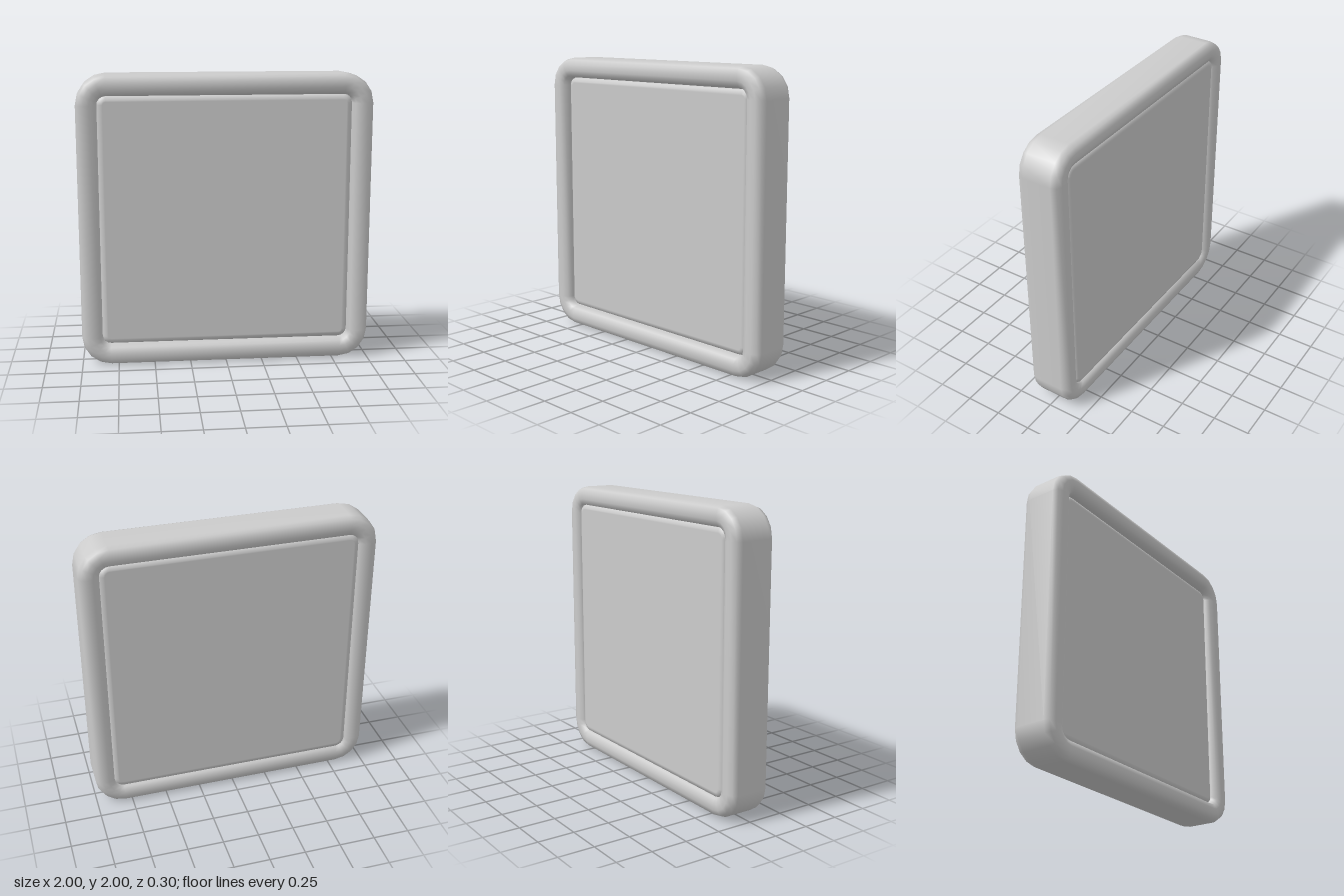
import * as THREE from 'three';

const HALF = 1;        // half width of the frame
const RADIUS = 0.2;    // outer corner radius
const CORNER_STEPS = 4;
const BEVEL_STEPS = 2;

// Counter-clockwise rounded square, moved inwards by inset
function roundedSquare(inset) {
  const points = [];
  const c = HALF - RADIUS, r = RADIUS - inset;
  [[1, 1], [-1, 1], [-1, -1], [1, -1]].forEach(([sx, sy], q) => {
    for (let i = 0; i <= CORNER_STEPS; i++) {
      const a = (q + i / CORNER_STEPS) * Math.PI / 2;
      points.push([sx * c + r * Math.cos(a), sy * c + r * Math.sin(a)]);
    }
  });
  return points;
}

// Loft through [inset, z] sections; closed joins last to first, otherwise the ends are capped
function loft(sections, closed) {
  const pos = [], idx = [];
  const n = 4 * (CORNER_STEPS + 1), m = sections.length;
  for (const [inset, z] of sections) {
    for (const [x, y] of roundedSquare(inset)) pos.push(x, y, z);
  }
  for (let s = 0; s < (closed ? m : m - 1); s++) {
    const a = s * n, b = ((s + 1) % m) * n;
    for (let i = 0; i < n; i++) {
      const j = (i + 1) % n;
      idx.push(a + i, a + j, b + j, a + i, b + j, b + i);
    }
  }
  if (!closed) {
    const back = pos.length / 3, front = back + 1;
    pos.push(0, 0, sections[0][1], 0, 0, sections[m - 1][1]);
    for (let i = 0; i < n; i++) {
      const j = (i + 1) % n;
      idx.push(back, j, i, front, (m - 1) * n + i, (m - 1) * n + j);
    }
  }
  const g = new THREE.BufferGeometry();
  g.setAttribute('position', new THREE.Float32BufferAttribute(pos, 3));
  g.setIndex(idx);
  g.computeVertexNormals();
  return g;
}

// Quarter-round points in the [inset, z] plane
function fillet(cx, cz, r, from) {
  return Array.from({ length: BEVEL_STEPS + 1 }, (_, i) => {
    const a = from + (i / BEVEL_STEPS) * Math.PI / 2;
    return [cx - r * Math.cos(a), cz + r * Math.sin(a)];
  });
}

export function createModel() {
  const group = new THREE.Group();
  const material = new THREE.MeshStandardMaterial({ color: 0xcccccc });
  const add = (name, geometry) => {
    const mesh = new THREE.Mesh(geometry, material);
    mesh.name = name;
    mesh.position.y = HALF;
    group.add(mesh);
  };

  // Frame: rounded bar swept around the square
  const width = 0.14, depth = 0.15, r = 0.05;
  add('frame', loft([
    ...fillet(r, -depth + r, r, -Math.PI / 2),
    ...fillet(r, depth - r, r, 0),
    ...fillet(width - r, depth - r, r, Math.PI / 2),
    ...fillet(width - r, -depth + r, r, Math.PI),
  ], true));

  // Panel: slab with softened edges, deeper recess in front than at the back
  const front = 0.1, back = -0.133, soft = 0.03;
  const frontInset = width + soft, backInset = width + soft - 0.013;
  add('panel', loft([
    [backInset + 0.01, back],
    ...fillet(backInset, back + soft, soft, -Math.PI / 2),
    ...fillet(frontInset, front - soft, soft, 0),
    [frontInset + 0.01, front],
  ], false));

  return group;
}
